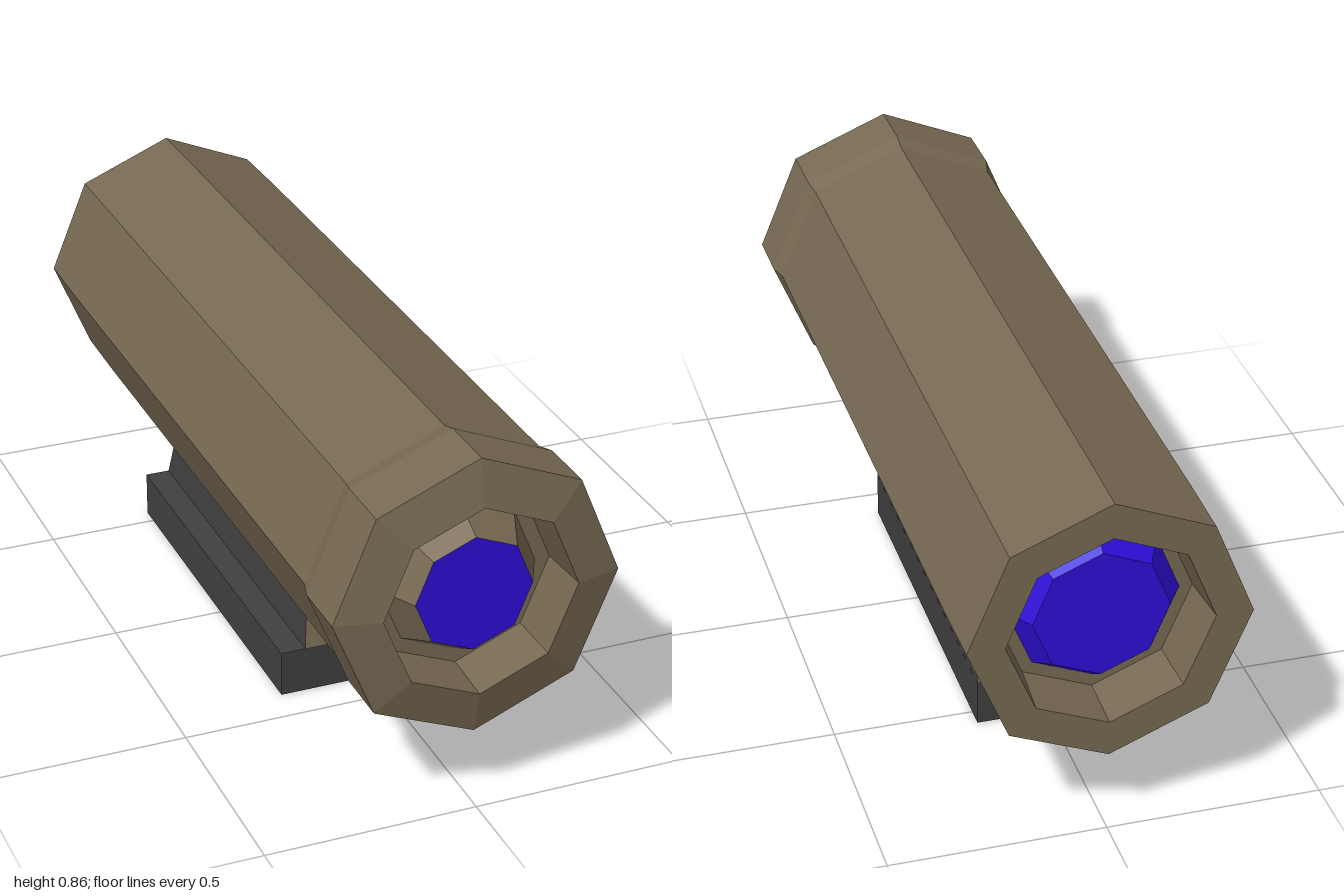
import * as THREE from 'three';

const material = (color) => new THREE.MeshStandardMaterial({ color, flatShading: true });

export function createModel() {
  const group = new THREE.Group();
  const tan = material(0x776952);
  const dark = material(0x404040);
  const blue = material(0x2e0ed8);

  const add = (name, geometry, mat) => {
    const mesh = new THREE.Mesh(geometry, mat);
    mesh.name = name;
    group.add(mesh);
    return mesh;
  };

  // Eight-sided turned part along z; profile points are [radius, z]
  const axisY = 0.52;
  const turned = (name, profile, mat) => {
    const points = profile.map(([r, z]) => new THREE.Vector2(r, z));
    const geometry = new THREE.LatheGeometry(points, 8);
    geometry.rotateX(Math.PI / 2);
    geometry.translate(0, axisY, 0);
    return add(name, geometry, mat);
  };

  // Hollow-ended tube, from the rear recess round the outside to the front recess
  turned('tube', [
    [0, -0.87], [0.225, -0.87], [0.235, -1],
    [0.32, -1], [0.322, -0.82], [0.322, 0.785],
    [0.335, 0.83], [0.335, 0.975], [0.228, 1],
    [0.22, 0.87], [0, 0.87],
  ], tan);

  // Front eyepiece with its flat lens
  turned('eyepiece', [[0.185, 0.87], [0.138, 0.96]], tan);
  turned('frontLens', [[0.138, 0.96], [0, 0.96]], blue);

  // Bevelled rear lens
  turned('rearLens', [[0, -0.93], [0.155, -0.93], [0.195, -0.87]], blue);

  // Waisted mount: dark sides, tan ends
  const midZ = -0.0675;
  const length = 0.955;
  const mountGeometry = new THREE.BoxGeometry(0.34, 0.16, length, 1, 2, 1);
  const p = mountGeometry.attributes.position;
  for (let i = 0; i < p.count; i++) {
    if (Math.abs(p.getY(i)) < 0.01) {
      p.setX(i, p.getX(i) - Math.sign(p.getX(i)) * 0.01);
      p.setZ(i, p.getZ(i) - Math.sign(p.getZ(i)) * 0.018);
    }
  }
  mountGeometry.computeVertexNormals();
  add('mount', mountGeometry, [dark, dark, dark, dark, tan, tan]).position.set(0, 0.19, midZ);

  // Base plate, with a ledge on one side
  add('basePlate', new THREE.BoxGeometry(0.4, 0.112, length), dark).position.set(-0.03, 0.056, midZ);

  return group;
}
